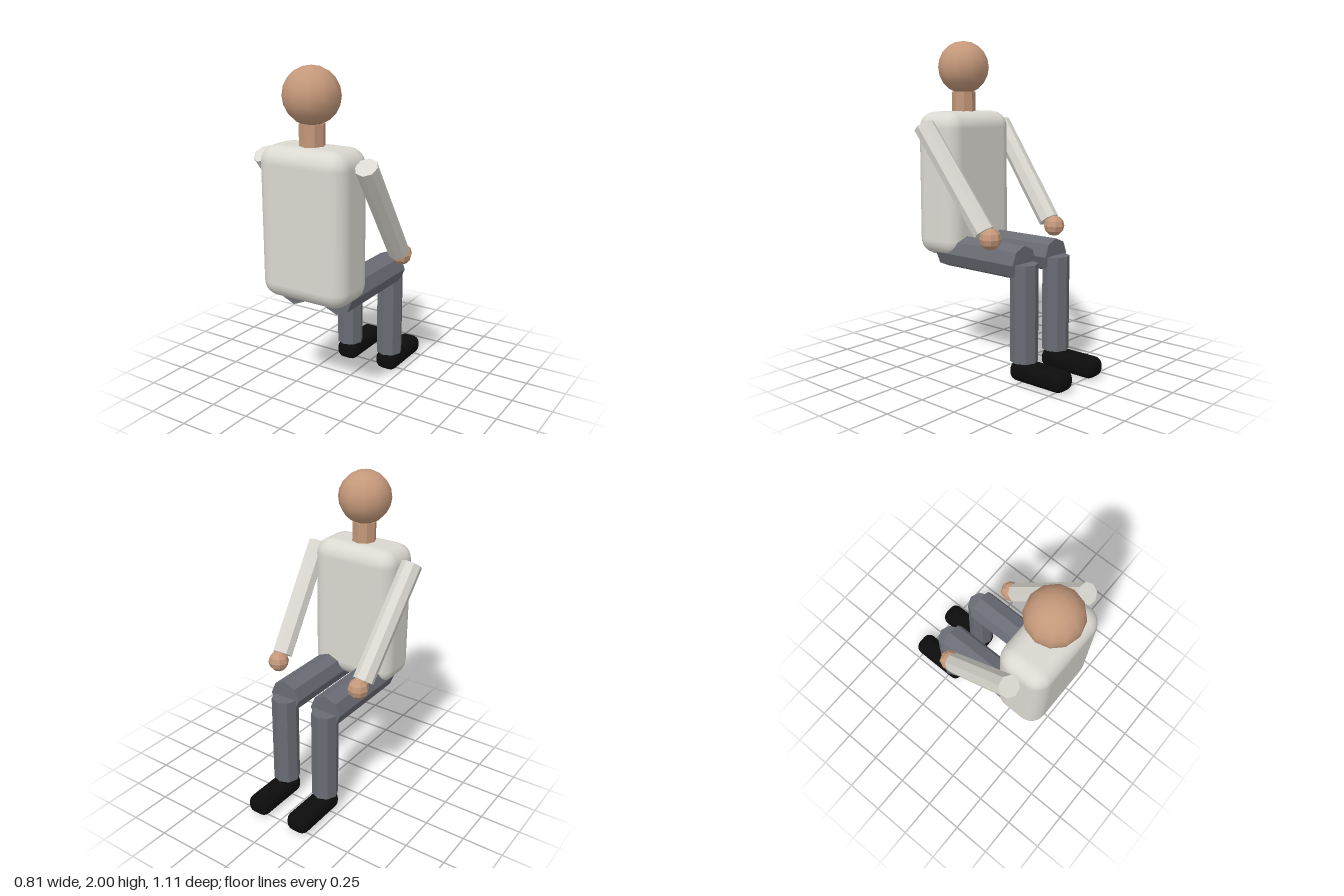
import * as THREE from 'three';
import { RoundedBoxGeometry } from 'three/addons/geometries/RoundedBoxGeometry.js';

const V = (x, y, z) => new THREE.Vector3(x, y, z);

function makeMaterial(name, color, flatShading = false) {
  const m = new THREE.MeshStandardMaterial({ color, flatShading });
  m.name = name;
  return m;
}

export function createModel() {
  const model = new THREE.Group();
  model.name = 'seatedFigure';

  const skin = makeMaterial('skin', 0xc4987a);
  const shirt = makeMaterial('shirt', 0xdad8d0);
  const trousers = makeMaterial('trousers', 0x696c74);
  const shoeBlack = makeMaterial('shoeBlack', 0x0c0c0c);

  function add(name, geometry, material, position) {
    const mesh = new THREE.Mesh(geometry, material);
    mesh.name = name;
    mesh.position.copy(position);
    model.add(mesh);
    return mesh;
  }

  // Non-indexed geometry gets one normal per face
  function faceted(geometry) {
    const g = geometry.toNonIndexed();
    g.computeVertexNormals();
    return g;
  }

  // Eight-sided limb running between two points
  function limb(name, from, to, radius, material) {
    const axis = to.clone().sub(from);
    const geometry = faceted(new THREE.CylinderGeometry(radius, radius, axis.length(), 8));
    const mesh = add(name, geometry, material, from.clone().add(to).multiplyScalar(0.5));
    mesh.quaternion.setFromUnitVectors(V(0, 1, 0), axis.normalize());
  }

  // Head, neck and torso
  add('head', new THREE.SphereGeometry(0.162, 12, 10), skin, V(0, 1.838, 0.39));
  limb('neck', V(0, 1.5, 0.39), V(0, 1.69, 0.39), 0.074, skin);
  add('torso', new RoundedBoxGeometry(0.568, 0.89, 0.326, 3, 0.1), shirt, V(0, 1.123, 0.388));

  // Arms and legs, mirrored; the figure sits facing -z
  for (const [side, s] of [['left', 1], ['right', -1]]) {
    limb(side + 'Arm', V(s * 0.342, 1.485, 0.387), V(s * 0.302, 0.885, -0.06), 0.065, shirt);
    add(side + 'Hand', faceted(new THREE.SphereGeometry(0.065, 8, 6)), skin, V(s * 0.298, 0.853, -0.105));
    limb(side + 'Thigh', V(s * 0.15, 0.705, 0.39), V(s * 0.15, 0.705, -0.235), 0.104, trousers);
    limb(side + 'Shin', V(s * 0.15, 0.705, -0.235), V(s * 0.15, 0.12, -0.235), 0.083, trousers);
    add(side + 'Shoe', new RoundedBoxGeometry(0.148, 0.12, 0.39, 3, 0.05), shoeBlack, V(s * 0.149, 0.06, -0.36));
  }

  return model;
}
